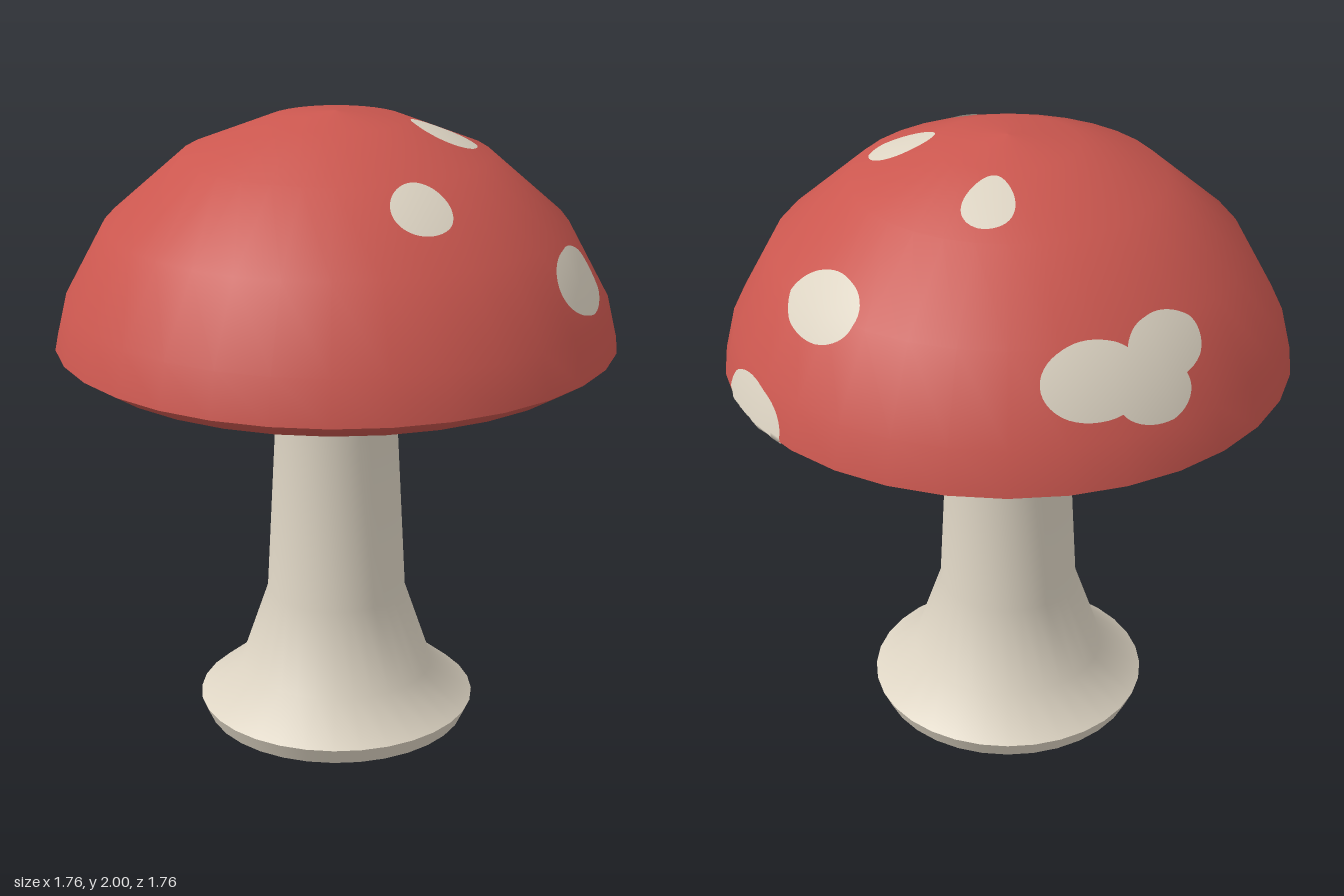
import * as THREE from 'three';

const SIDES = 32;
const red = new THREE.MeshStandardMaterial({ color: 0xcb574f });
red.name = 'cap red';
const cream = new THREE.MeshStandardMaterial({ color: 0xddd4c3, side: THREE.DoubleSide });
cream.name = 'stem cream';

const points = (list) => list.map(([x, y]) => new THREE.Vector2(x, y));

// Cap profile from the centre of the underside, round the rim, up to the crown
const RIM = 2;
const cap = points([[0, 1.235], [0.8, 1.235], [0.88, 1.285], [0.848, 1.42],
  [0.718, 1.66], [0.478, 1.87], [0.215, 1.975], [0, 2]]);

// Outward normal of every profile segment, and its smoothed ends (sharp at the rim)
const faceNormals = cap.slice(1).map((p, i) => new THREE.Vector2(p.y - cap[i].y, cap[i].x - p.x).normalize());
const cornerNormal = (i, corner) => {
  const other = faceNormals[corner === i ? i - 1 : i + 1];
  if (!other || corner === RIM) return faceNormals[i].clone();
  return faceNormals[i].clone().add(other).normalize();
};

// Distance along the profile at each corner
const lengths = [0];
for (let i = 1; i < cap.length; i++) lengths.push(lengths[i - 1] + cap[i].distanceTo(cap[i - 1]));

// Point and normal on the cap at an angle and a distance along the profile
function capSurface(angle, s) {
  s = THREE.MathUtils.clamp(s, 0, lengths.at(-1) - 1e-4);
  const i = lengths.findIndex((l, k) => s >= l && s < lengths[k + 1]);
  const t = (s - lengths[i]) / (lengths[i + 1] - lengths[i]);
  const p = cap[i].clone().lerp(cap[i + 1], t);
  const n = cornerNormal(i, i).lerp(cornerNormal(i, i + 1), t).normalize();
  const step = (2 * Math.PI) / SIDES;
  const inSide = THREE.MathUtils.euclideanModulo(angle, step) - step / 2;
  const r = (p.x * Math.cos(step / 2)) / Math.cos(inSide);
  const sin = Math.sin(angle), cos = Math.cos(angle);
  const normal = new THREE.Vector3(n.x * sin, n.y, n.x * cos);
  const position = new THREE.Vector3(r * sin, p.y, r * cos).addScaledVector(normal, 0.004);
  return { position, normal };
}

// Profile distance at a radius, on the dome or on the underside
function distanceAt(radius, under) {
  const start = under ? 0 : RIM;
  const end = under ? RIM : cap.length - 1;
  for (let i = start; i < end; i++) {
    const t = (radius - cap[i].x) / (cap[i + 1].x - cap[i].x);
    if (t >= 0 && t <= 1) return THREE.MathUtils.lerp(lengths[i], lengths[i + 1], t);
  }
  return lengths[RIM];
}

// Thin oval patch hugging the cap: centre x and z, half width around, half length along
function makeSpot([x, z, around, along], under) {
  const radius = Math.hypot(x, z);
  const angle = Math.atan2(x, z);
  const s = distanceAt(radius, under);
  const geometry = new THREE.RingGeometry(0, 1, 44, 20);
  const pos = geometry.attributes.position;
  for (let i = 0; i < pos.count; i++) {
    const spot = capSurface(angle + (pos.getX(i) * around) / radius, s + pos.getY(i) * along);
    pos.setXYZ(i, ...spot.position.toArray());
    geometry.attributes.normal.setXYZ(i, ...spot.normal.toArray());
  }
  return new THREE.Mesh(geometry, cream);
}

export function createModel() {
  const model = new THREE.Group();
  model.name = 'mushroom';
  const lathe = (name, profile, material) => {
    const mesh = new THREE.Mesh(new THREE.LatheGeometry(profile, SIDES), material);
    mesh.name = name;
    model.add(mesh);
  };

  // Hollow stem with a bevelled foot
  lathe('stemFoot', points([[0.425, 0], [0.45, 0.055]]), cream);
  lathe('stem', points([[0.45, 0.055], [0.315, 0.165], [0.225, 0.43], [0.198, 0.95], [0.207, 1.235]]), cream);

  // Cap
  lathe('capUnderside', cap.slice(0, RIM + 1), red);
  lathe('capDome', cap.slice(RIM), red);

  // Spots on the dome, the last one wrapping over the rim
  const domeSpots = [
    [0.48, 0.265, 0.095, 0.095],
    [0.76, -0.18, 0.157, 0.108],
    [0.28, -0.17, 0.085, 0.11],
    [-0.195, -0.27, 0.075, 0.105],
    [0.05, -0.705, 0.148, 0.11],
    [-0.684, -0.345, 0.155, 0.115],
    [-0.735, -0.105, 0.13, 0.1],
    [-0.775, -0.19, 0.125, 0.09],
    [0.235, -0.845, 0.18, 0.115],
  ];
  // Spots on the underside
  const underSpots = [
    [0.665, -0.105, 0.13, 0.135],
    [0.355, 0.43, 0.11, 0.11],
    [-0.465, -0.44, 0.105, 0.105],
    [-0.72, 0.135, 0.135, 0.13],
  ];
  const spots = new THREE.Group();
  spots.name = 'spots';
  for (const [list, under, name] of [[domeSpots, false, 'domeSpot'], [underSpots, true, 'undersideSpot']]) {
    for (const data of list) {
      const spot = makeSpot(data, under);
      spot.name = name;
      spots.add(spot);
    }
  }
  model.add(spots);
  return model;
}
